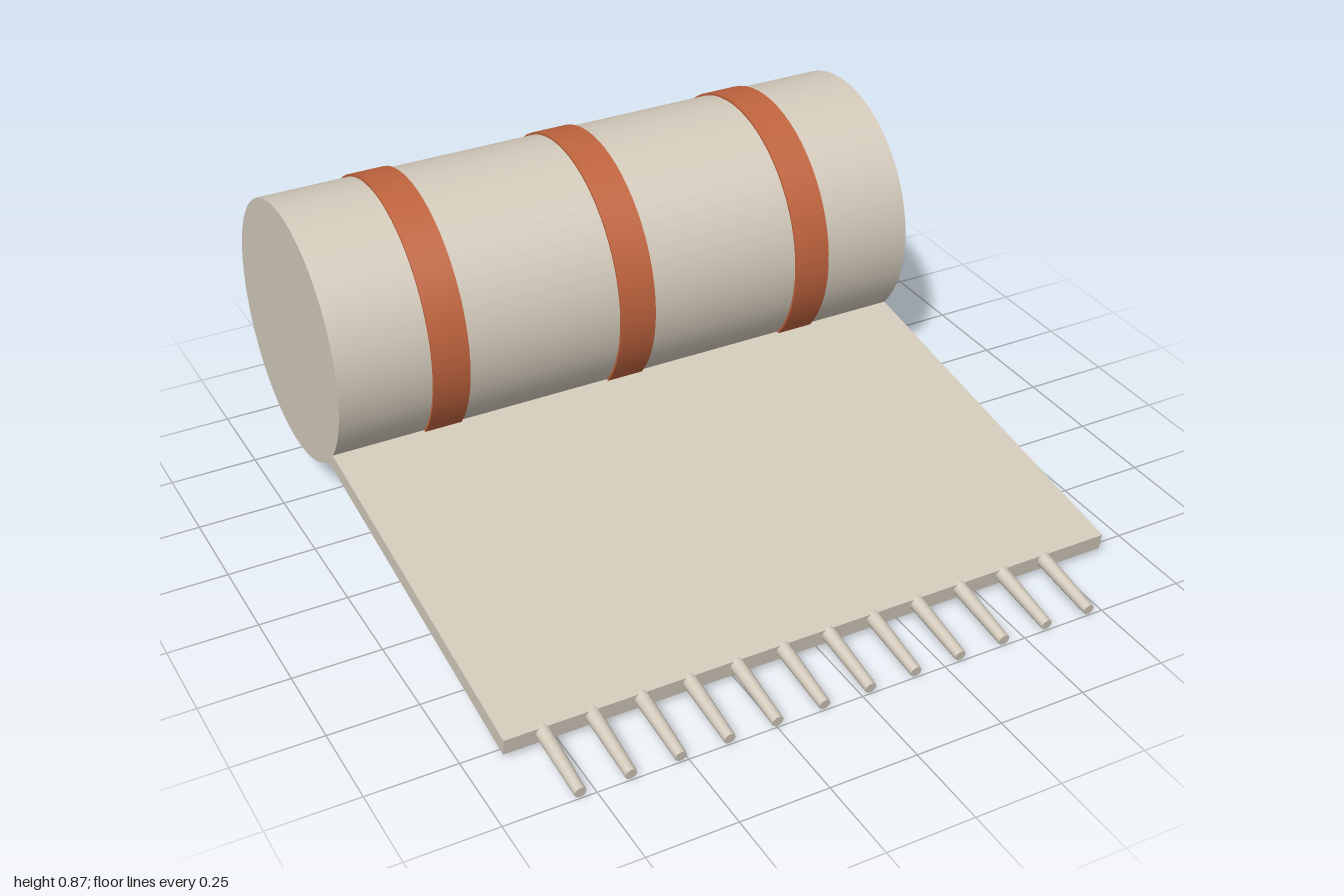
import * as THREE from 'three';

export function createModel() {
  const model = new THREE.Group();
  model.name = 'rolledMat';
  const cream = new THREE.MeshStandardMaterial({ color: 0xd3cabb });
  cream.name = 'cream cloth';
  const rust = new THREE.MeshStandardMaterial({ color: 0xc0643e });
  rust.name = 'rust stripe';

  const add = (name, geometry, material, x, y, z) => {
    const mesh = new THREE.Mesh(geometry, material);
    mesh.name = name;
    mesh.position.set(x, y, z);
    model.add(mesh);
    return mesh;
  };

  // Rolled-up part, lying along x
  const rollY = 0.49, rollZ = -0.612;
  const roll = new THREE.CylinderGeometry(0.381, 0.381, 1.8, 64).rotateZ(Math.PI / 2);
  add('roll', roll, cream, 0, rollY, rollZ);

  // Stripes around the roll
  const stripe = new THREE.CylinderGeometry(0.388, 0.388, 0.11, 64).rotateZ(Math.PI / 2);
  for (const x of [-0.573, 0, 0.573]) add('stripe', stripe, rust, x, rollY, rollZ);

  // Unrolled sheet, sloping down to the front
  const slope = 0.151, length = 1.18;
  const frontY = 0.046, frontZ = 0.791;
  const sheet = add('sheet', new THREE.BoxGeometry(1.8, 0.05, length), cream,
    0, frontY + Math.sin(slope) * length / 2, frontZ - Math.cos(slope) * length / 2);
  sheet.rotation.x = slope;

  // Tapered fringe tassels along the front edge
  const tassel = new THREE.CylinderGeometry(0.016, 0.021, 0.216, 12).rotateX(Math.PI / 2 + slope);
  for (let i = 0; i < 12; i++) add('fringe', tassel, cream, -0.793 + i * 0.1364, 0.038, 0.891);

  return model;
}
